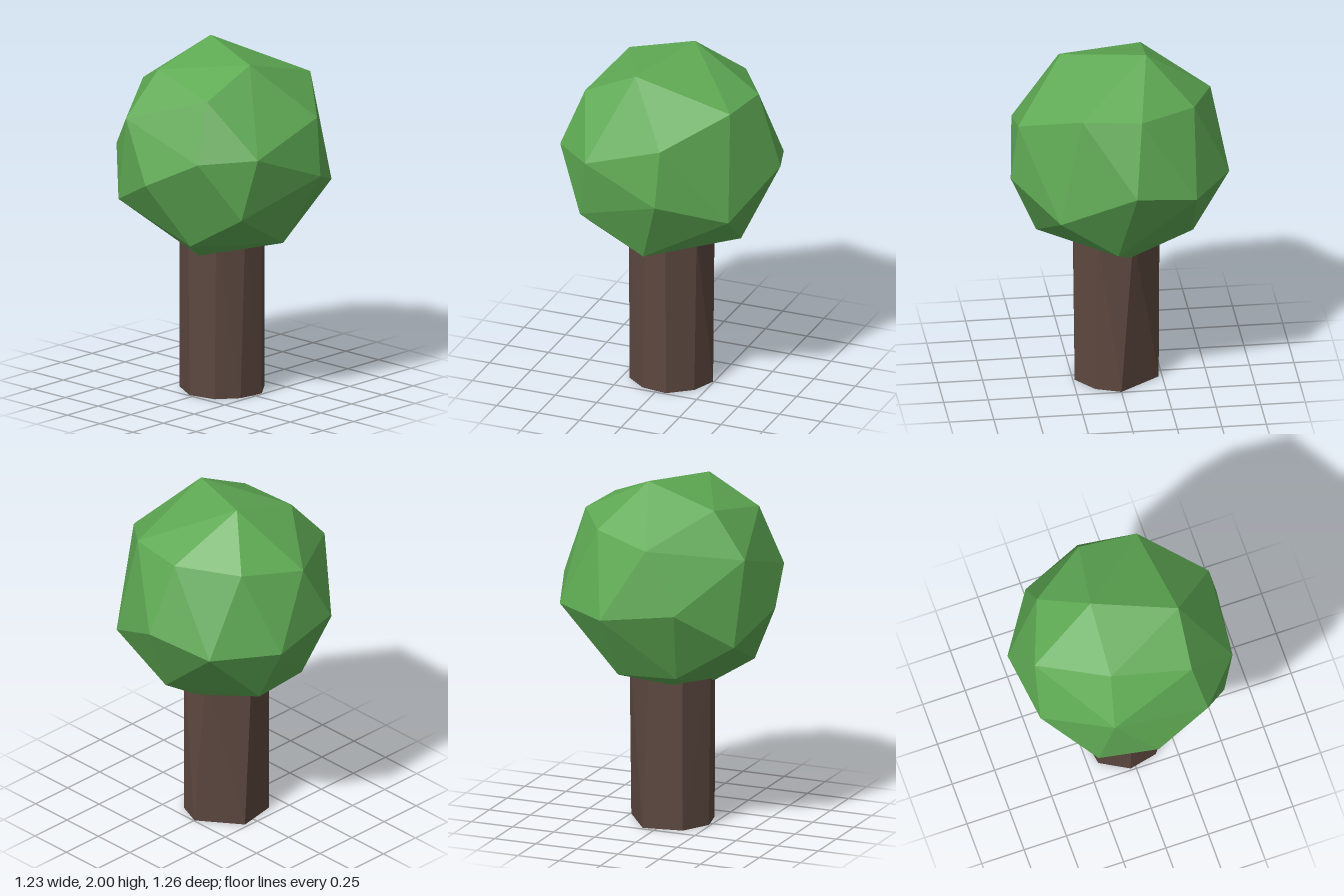
import * as THREE from 'three';
import { ConvexGeometry } from 'three/addons/geometries/ConvexGeometry.js';

const leafGreen = new THREE.MeshStandardMaterial({ color: 0x5ea953, flatShading: true });
leafGreen.name = 'leaf green';
const barkBrown = new THREE.MeshStandardMaterial({ color: 0x5c473f, flatShading: true });
barkBrown.name = 'bark brown';

// Faceted solid stretched over a few corner points
function facetedSolid(name, corners, material) {
  const mesh = new THREE.Mesh(
    new ConvexGeometry(corners.map((c) => new THREE.Vector3(...c))), material);
  mesh.name = name;
  return mesh;
}

export function createModel() {
  const tree = new THREE.Group();
  tree.name = 'tree';

  // Trunk: two slightly twisted rings of [x, z] corners
  const base = [[-0.03, 0.24], [0.13, 0.205], [0.22, 0.09], [0.24, -0.06],
    [0.14, -0.19], [0, -0.245], [-0.23, -0.076], [-0.19, 0.15]];
  const top = [[-0.03, 0.25], [0.14, 0.205], [0.235, 0.07], [0.245, -0.06],
    [0.13, -0.2], [-0.07, -0.225], [-0.24, -0.034], [-0.19, 0.15]];
  tree.add(facetedSolid('trunk', [
    ...base.map(([x, z]) => [x, 0, z]),
    ...top.map(([x, z]) => [x, 0.95, z]),
  ], barkBrown));

  // Crown: uneven rounded ball of leaves, corners listed from the top down
  tree.add(facetedSolid('crown', [
    // cap
    [-0.16, 2.0, -0.07], [0.30, 1.95, 0.10], [-0.18, 1.88, 0.335],
    // shoulder
    [0.27, 1.795, 0.415], [0.245, 1.79, -0.45], [-0.085, 1.78, -0.485],
    [-0.405, 1.76, -0.275], [-0.54, 1.71, 0.075], [0.57, 1.645, -0.16], [-0.23, 1.63, 0.545],
    // middle
    [0.55, 1.485, 0.30], [0.32, 1.465, 0.545], [-0.04, 1.38, -0.635], [-0.57, 1.36, 0.26],
    [0.61, 1.315, -0.145], [0, 1.30, 0.63], [-0.615, 1.30, -0.17], [-0.39, 1.30, -0.51],
    // lower sides
    [0.37, 1.18, -0.49], [-0.315, 1.14, 0.515], [0.48, 1.135, 0.36],
    // underside
    [-0.40, 0.945, 0.20], [-0.415, 0.935, -0.145], [0.16, 0.94, 0.435], [0.04, 0.935, -0.43],
    [0.45, 0.925, -0.01], [-0.05, 0.845, -0.27], [-0.18, 0.835, 0.10], [0.05, 0.825, 0.245],
  ], leafGreen));

  return tree;
}
